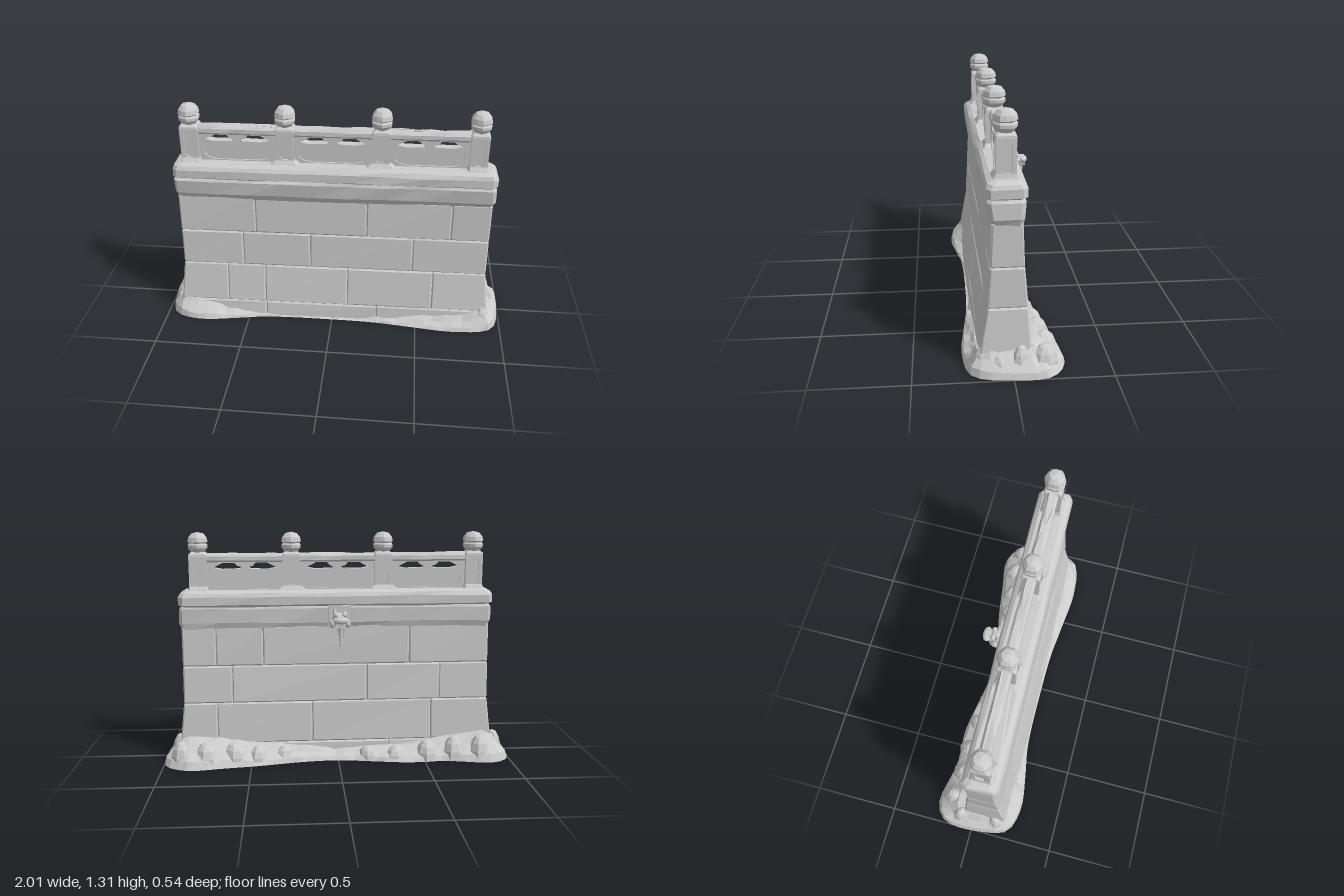
import * as THREE from 'three';

const stone = new THREE.MeshStandardMaterial({ color: 0xcccccc, flatShading: true, side: THREE.DoubleSide });
stone.name = 'pale stone';

let seed = 7;
const rnd = (a) => {
  seed = (seed * 16807) % 2147483647;
  return (seed / 2147483647 * 2 - 1) * a;
};
const V = (x, y, z) => new THREE.Vector3(x, y, z);

function add(parent, geo, name, x = 0, y = 0, z = 0) {
  const flat = geo.index ? geo.toNonIndexed() : geo;
  flat.computeVertexNormals();
  const mesh = new THREE.Mesh(flat, stone);
  mesh.name = name;
  mesh.position.set(x, y, z);
  parent.add(mesh);
  return mesh;
}

// Skin over rings of equal length, each counter-clockwise from above
function loft(rings, closeTop = true) {
  const n = rings[0].length, pos = [], idx = [];
  rings.forEach(r => r.forEach(p => pos.push(p.x, p.y, p.z)));
  for (let i = 0; i < rings.length - 1; i++)
    for (let j = 0; j < n; j++) {
      const a = i * n + j, b = i * n + (j + 1) % n;
      idx.push(a, b, b + n, a, b + n, a + n);
    }
  if (closeTop) {
    const top = rings[rings.length - 1], base = (rings.length - 1) * n;
    const c = top.reduce((s, p) => s.add(p), V(0, 0, 0)).divideScalar(n);
    pos.push(c.x, c.y, c.z);
    for (let j = 0; j < n; j++) idx.push(base + j, base + (j + 1) % n, rings.length * n);
  }
  const g = new THREE.BufferGeometry();
  g.setAttribute('position', new THREE.Float32BufferAttribute(pos, 3));
  g.setIndex(idx);
  return g;
}

// Rectangle with cut corners, split n times along x
function rectRing(y, hx, zf, zb, c, n = 1, wear = 0) {
  const pts = [V(hx, y, zf - c), V(hx, y, zb + c)];
  for (let i = 0; i <= n; i++) pts.push(V((hx - c) * (1 - 2 * i / n), y, zb));
  pts.push(V(-hx, y, zb + c), V(-hx, y, zf - c));
  for (let i = 0; i <= n; i++) pts.push(V((hx - c) * (2 * i / n - 1), y, zf));
  return pts.map(p => p.add(V(rnd(wear), rnd(wear), rnd(wear))));
}

const poly = (pts) => pts.map(([x, y]) => new THREE.Vector2(x, y));
function framed(outline, holes, depth) {
  const s = new THREE.Shape(poly(outline));
  holes.forEach(h => s.holes.push(new THREE.Path(poly(h))));
  return new THREE.ExtrudeGeometry(s, { depth, bevelEnabled: false });
}

// Wall taper: height, half length, front depth, back depth about the mid plane
const MID = 0.045;
const taper = [[0, 0.925, 0.145, 0.13], [0.097, 0.915, 0.135, 0.123], [0.335, 0.89, 0.097, 0.106],
  [0.55, 0.89, 0.082, 0.089], [0.78, 0.89, 0.072, 0.08]];
function at(y, k) {
  let i = 0;
  while (i < taper.length - 2 && y > taper[i + 1][0]) i++;
  const a = taper[i], b = taper[i + 1];
  return a[k] + (b[k] - a[k]) * (y - a[0]) / (b[0] - a[0]);
}

// One hewn block with bevelled joints; s = 1 front, -1 back
function block(a, b, y0, y1, s, endA, endB) {
  const g = new THREE.BoxGeometry(1, 1, 1, 3, 3, 1), p = g.attributes.position, e = 0.008;
  for (let i = 0; i < p.count; i++) {
    const u = Math.round((p.getX(i) + 0.5) * 3), v = Math.round((p.getY(i) + 0.5) * 3);
    const outer = p.getZ(i) > 0;
    const y = [y0, y0 + e, y1 - e, y1][v], rimY = v === 0 || v === 3;
    let x = [a, a + e, b - e, b][u];
    const end = at(y, 1) - (rimY ? e : 0);
    if (endA && u < 2) x = -end + u * e;
    if (endB && u > 1) x = end - (3 - u) * e;
    const rim = rimY || u === 0 || u === 3;
    const d = outer ? at(y, s > 0 ? 2 : 3) - (rim ? e : rnd(0.004)) : 0;
    p.setXYZ(i, s * x, y, MID + s * d);
  }
  return g;
}

function buildWall(wall) {
  const courses = [
    [0, 0.097, [-0.4, 0.26], [-0.3, 0.4]],
    [0.097, 0.335, [-0.63, -0.405, 0.085, 0.585], [-0.55, 0.15, 0.7]],
    [0.335, 0.55, [-0.53, -0.135, 0.46], [-0.6, -0.17, 0.61]],
    [0.55, 0.78, [-0.45, 0.19, 0.67], [-0.42, 0.43, 0.7]]];
  for (const [y0, y1, front, back] of courses)
    for (const s of [1, -1]) {
      const joints = s > 0 ? front : back.map(x => -x).sort((p, q) => p - q);
      const xs = [-1, ...joints, 1];
      for (let i = 0; i < xs.length - 1; i++)
        add(wall, block(xs[i], xs[i + 1], y0, y1, s, i === 0, i === xs.length - 2), 'wallBlock');
    }
  // Two-tier worn coping
  add(wall, loft([[0.755, 0.885, 0.11, -0.03], [0.8, 0.903, 0.132, -0.043], [0.88, 0.9, 0.14, -0.046],
    [0.897, 0.89, 0.132, -0.04]].map(([y, h, f, b]) => rectRing(y, h, f, b, 0.02, 9, 0.003))), 'lowerCoping');
  add(wall, loft([[0.893, 0.885, 0.13, -0.04], [0.905, 0.903, 0.147, -0.056], [0.95, 0.903, 0.147, -0.057],
    [0.97, 0.893, 0.135, -0.045], [0.984, 0.87, 0.115, -0.025]]
    .map(([y, h, f, b]) => rectRing(y, h, f, b, 0.025, 9, 0.003))), 'upperCoping');
}

function buildPost(parent, x, footWidth) {
  const post = new THREE.Group();
  post.name = 'railingPost';
  post.position.set(x, 0, MID);
  parent.add(post);
  add(post, new THREE.BoxGeometry(0.08, 0.2, 0.08), 'postCore', 0, 1.08, 0);
  const w = 0.05, hole = [[-0.028, 1.03], [-0.016, 1.012], [0.016, 1.012], [0.028, 1.03],
    [0.028, 1.148], [0.016, 1.165], [-0.016, 1.165], [-0.028, 1.148]];
  for (let k = 0; k < 4; k++) {
    const g = framed([[-w, 0.97], [w, 0.97], [w, 1.18], [-w, 1.18]], [hole], 0.012);
    g.translate(0, 0, 0.038);
    add(post, g, 'postPanelFrame').rotation.y = k * Math.PI / 2;
  }
  add(post, loft([rectRing(0.975, footWidth, 0.07, -0.07, 0.01), rectRing(0.988, footWidth * 0.9, 0.064, -0.064, 0.01),
    rectRing(1.008, 0.05, 0.05, -0.05, 0.005)]), 'postFoot');
  add(post, loft([rectRing(1.175, 0.052, 0.052, -0.052, 0.006), rectRing(1.188, 0.05, 0.05, -0.05, 0.006),
    rectRing(1.2, 0.036, 0.036, -0.036, 0.006)]), 'postCap');
  // Lobed bud finial
  const bud = new THREE.LatheGeometry(poly([[0.034, 1.19], [0.042, 1.2], [0.058, 1.222], [0.059, 1.238],
    [0.051, 1.248], [0.06, 1.256], [0.055, 1.28], [0.036, 1.303], [0, 1.311]]), 12);
  const p = bud.attributes.position;
  for (let i = 0; i < p.count; i++) {
    const k = Math.floor(i / 9) % 2 ? 0.94 : 1.02;
    p.setX(i, p.getX(i) * k);
    p.setZ(i, p.getZ(i) * k);
  }
  add(post, bud, 'postFinial');
}

function buildBay(parent, x) {
  const bay = new THREE.Group();
  bay.name = 'railingBay';
  bay.position.set(x, 0, MID);
  parent.add(bay);
  const L = 0.225;
  // Two openings under the handrail, either side of a cloud-shaped bracket
  const slot = [[-0.18, 1.11], [-0.125, 1.138], [-0.06, 1.138], [-0.045, 1.12], [-0.022, 1.114], [-0.03, 1.103], [-0.13, 1.1]];
  const field = [[-0.19, 1.088], [-0.19, 1.025], [-0.165, 1.0], [-0.12, 0.99], [0.12, 0.99],
    [0.165, 1.0], [0.19, 1.025], [0.19, 1.088]];
  const frame = framed([[-L, 0.97], [L, 0.97], [L, 1.15], [-L, 1.15]],
    [slot, slot.map(([a, b]) => [-a, b]), field], 0.046);
  add(bay, frame, 'railingFrame', 0, 0, -0.023);
  add(bay, new THREE.BoxGeometry(0.42, 0.12, 0.028), 'sunkenPanel', 0, 1.035, 0);
  add(bay, loft([rectRing(1.142, L, 0.027, -0.027, 0.003, 6), rectRing(1.152, L, 0.033, -0.033, 0.003, 6, 0.001),
    rectRing(1.175, L, 0.032, -0.032, 0.003, 6, 0.002), rectRing(1.19, L, 0.02, -0.02, 0.003, 6, 0.004)]), 'handrail');
}

// Carved beast-head water spout with a hanging icicle, on the back
function buildSpout(parent) {
  const spout = new THREE.Group();
  spout.name = 'waterSpout';
  spout.position.set(-0.01, 0.82, -0.045);
  spout.rotation.y = Math.PI;
  parent.add(spout);
  add(spout, new THREE.BoxGeometry(0.13, 0.13, 0.035), 'spoutPlate', 0, 0.012, 0.008);
  const head = new THREE.IcosahedronGeometry(1, 1);
  add(spout, head.clone().scale(0.045, 0.042, 0.045), 'spoutHead', 0, 0.0, 0.04);
  add(spout, new THREE.CylinderGeometry(0.034, 0.042, 0.1, 7).rotateX(Math.PI / 2), 'spoutSnout', 0, -0.008, 0.06);
  add(spout, head.clone().scale(0.046, 0.022, 0.026), 'spoutLip', 0, 0.002, 0.098);
  add(spout, new THREE.BoxGeometry(0.045, 0.014, 0.06), 'spoutJaw', 0, -0.042, 0.065).rotation.x = 0.25;
  for (const s of [-1, 1]) {
    add(spout, new THREE.ConeGeometry(0.018, 0.065, 5), 'spoutEar', s * 0.03, 0.047, 0.036).rotation.z = -s * 0.3;
    add(spout, head.clone().scale(0.016, 0.016, 0.016), 'spoutBrow', s * 0.024, 0.03, 0.06);
    add(spout, head.clone().scale(0.016, 0.025, 0.022), 'spoutCheek', s * 0.044, -0.022, 0.045);
  }
  add(spout, new THREE.ConeGeometry(0.017, 0.15, 6).rotateX(Math.PI), 'icicle', 0, -0.112, 0.085);
  add(spout, new THREE.ConeGeometry(0.01, 0.07, 5).rotateX(Math.PI), 'icicle', 0.018, -0.075, 0.075);
}

// Drifted bank around the foot: outline x, z and the height against the wall
function buildBank(group) {
  const outline = [[1, 0, 0.12], [0.985, -0.19, 0.13], [0.86, -0.27, 0.15], [0.65, -0.245, 0.13], [0.45, -0.215, 0.1],
    [0.2, -0.165, 0.08], [0, -0.15, 0.05], [-0.2, -0.18, 0.07], [-0.4, -0.21, 0.07], [-0.62, -0.2, 0.11],
    [-0.9, -0.24, 0.14], [-0.99, -0.17, 0.13], [-0.995, 0.08, 0.13], [-0.95, 0.22, 0.14], [-0.8, 0.268, 0.11],
    [-0.6, 0.245, 0.055], [-0.4, 0.21, 0.03], [0, 0.2, 0.012], [0.25, 0.205, 0.03], [0.45, 0.225, 0.045],
    [0.75, 0.248, 0.07], [0.95, 0.2, 0.13]];
  const curve = new THREE.CatmullRomCurve3(outline.map(([x, z, h]) => V(x, h, z)), true);
  const pts = curve.getSpacedPoints(84).slice(0, 84);
  const inner = (p) => V(THREE.MathUtils.clamp(p.x, -0.87, 0.87), 0, THREE.MathUtils.clamp(p.z, -0.05, 0.14));
  const rings = [[0, 0], [0.1, 0.3], [0.4, 0.62], [0.65, 0.95], [1, 1]].map(([t, h]) => pts.map(p => {
    const q = V(p.x, 0, p.z).lerp(inner(p), t);
    const j = t > 0 && t < 1 ? 0.006 : 0;
    return V(q.x + rnd(j), Math.max(0, p.y * h + rnd(j)), q.z + rnd(j));
  }));
  add(group, loft(rings, false), 'groundBank');
  // Half-buried rounded lumps: x, z, radius, height
  const lumps = [[0.9, -0.16, 0.075, 0.14], [0.76, -0.17, 0.085, 0.13], [0.6, -0.15, 0.08, 0.12], [0.46, -0.14, 0.07, 0.1],
    [0.31, -0.12, 0.06, 0.09], [-0.17, -0.12, 0.06, 0.075], [-0.34, -0.13, 0.07, 0.08], [-0.52, -0.13, 0.08, 0.11],
    [-0.68, -0.13, 0.08, 0.13], [-0.83, -0.15, 0.08, 0.14], [-0.92, -0.08, 0.06, 0.15], [-0.91, 0.13, 0.06, 0.14],
    [0.92, -0.04, 0.055, 0.15], [0.93, 0.07, 0.05, 0.1], [0.89, 0.15, 0.055, 0.13]];
  for (const [x, z, r, h] of lumps) {
    const g = new THREE.SphereGeometry(1, 8, 4, 0, Math.PI * 2, 0, Math.PI / 2);
    g.scale(r * 1.05, h, r * 0.85).rotateY(rnd(1.5));
    add(group, g, 'bankLump', x, 0, z);
  }
}

export function createModel() {
  seed = 7;
  const group = new THREE.Group();
  group.name = 'stoneWallWithRailing';
  const wall = new THREE.Group();
  wall.name = 'wall';
  wall.rotation.y = 0.018;
  group.add(wall);
  buildWall(wall);
  [-0.8, -0.27, 0.26, 0.79].forEach((x, i) => buildPost(wall, x, i % 3 ? 0.085 : 0.062));
  [-0.535, -0.005, 0.525].forEach(x => buildBay(wall, x));
  buildSpout(wall);
  buildBank(group);
  return group;
}
